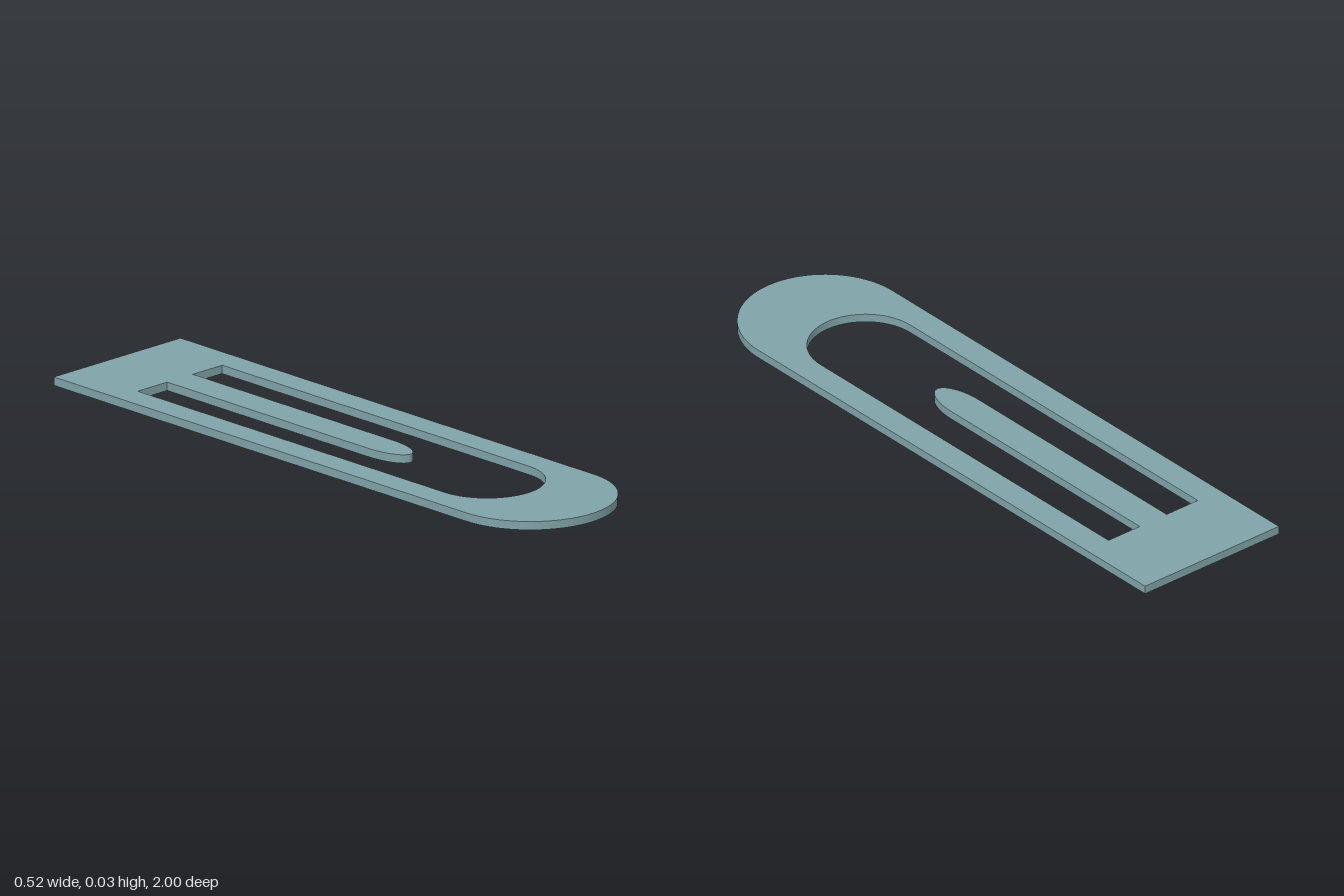
import * as THREE from 'three';

const THICKNESS = 0.026;
const HALF_WIDTH = 0.258;   // outer frame
const SLOT = 0.172;         // half width of the opening
const TONGUE = 0.052;       // half width of the tongue
const SLOT_BACK = -0.735;   // where the opening and tongue begin

export function createModel() {
  const group = new THREE.Group();
  group.name = 'flatClip';

  // Outer outline: square back end, semicircular front end (shape y becomes z)
  const outline = new THREE.Shape();
  outline.moveTo(-HALF_WIDTH, -1);
  outline.lineTo(HALF_WIDTH, -1);
  outline.lineTo(HALF_WIDTH, 1 - HALF_WIDTH);
  outline.absarc(0, 1 - HALF_WIDTH, HALF_WIDTH, 0, Math.PI, false);
  outline.closePath();

  // Opening that wraps around the round-tipped central tongue
  const opening = new THREE.Path();
  opening.moveTo(-SLOT, SLOT_BACK);
  opening.lineTo(-SLOT, 0.56);
  opening.absarc(0, 0.56, SLOT, Math.PI, 0, true);
  opening.lineTo(SLOT, SLOT_BACK);
  opening.lineTo(TONGUE, SLOT_BACK);
  opening.lineTo(TONGUE, 0.11);
  opening.absellipse(0, 0.11, TONGUE, 0.127, 0, Math.PI, false, 0);
  opening.lineTo(-TONGUE, SLOT_BACK);
  opening.closePath();
  outline.holes.push(opening);

  // Lay the plate flat on the ground
  const geometry = new THREE.ExtrudeGeometry(outline, {
    depth: THICKNESS, bevelEnabled: false, curveSegments: 24,
  });
  geometry.rotateX(Math.PI / 2);
  geometry.translate(0, THICKNESS, 0);

  const plate = new THREE.Mesh(geometry, new THREE.MeshStandardMaterial({ color: 0x7fa3a7 }));
  plate.name = 'clipPlate';
  group.add(plate);
  return group;
}
